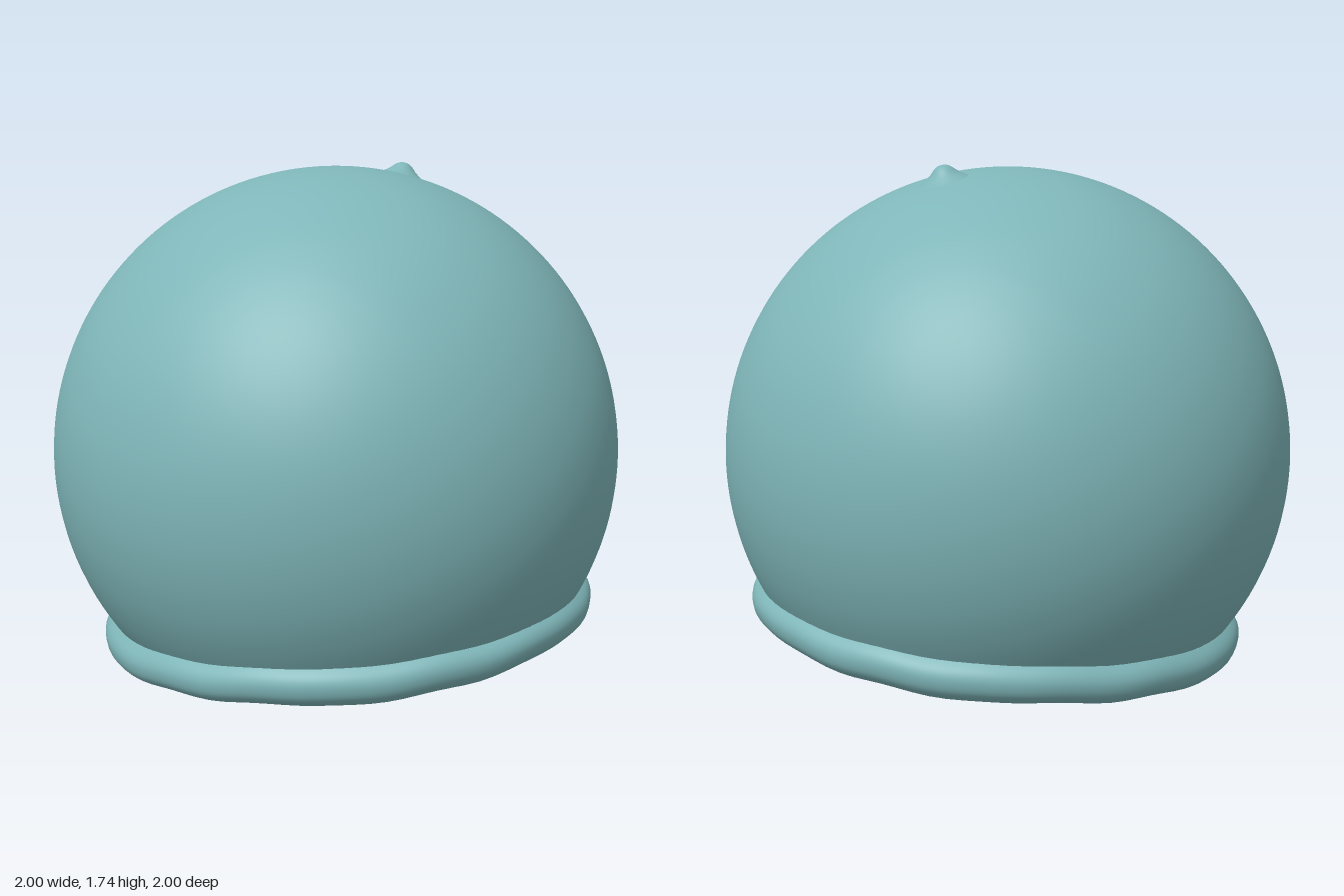
import * as THREE from 'three';
import { mergeVertices } from 'three/addons/utils/BufferGeometryUtils.js';

const CENTRE_Y = 0.74; // centre of the unit sphere that forms the dome
const GROOVE_Y = 0.2;  // height where the dome meets the rim, before tilting
const SEGMENTS = 96;

// Joins the lathe seam and rebuilds smooth normals
function weld(geometry) {
  geometry.deleteAttribute('uv');
  geometry.deleteAttribute('normal');
  const welded = mergeVertices(geometry, 1e-4);
  welded.computeVertexNormals();
  return welded;
}

const spline = (pairs, n) =>
  new THREE.SplineCurve(pairs.map(([x, y]) => new THREE.Vector2(x, y))).getPoints(n);

// Slightly uneven height of the soft rim
const wobble = (a) => 0.004 * Math.sin(5 * a + 1) + 0.003 * Math.sin(11 * a) + 0.002 * Math.sin(17 * a + 2);

// Tilts the rim and hollow as one, and offsets them towards the raised side
function tiltRim(geometry) {
  const p = geometry.attributes.position;
  for (let i = 0; i < p.count; i++) {
    const x = p.getX(i), y = p.getY(i), z = p.getZ(i);
    const ripple = wobble(Math.atan2(z, x)) * THREE.MathUtils.smoothstep(Math.hypot(x, z), 0.3, 0.75);
    p.setXYZ(i, x + 0.03, y + 0.06 * (x + z) + ripple, z + 0.03);
  }
  return weld(geometry);
}

// Lets the dome's lower edge follow the tilted rim while staying on the sphere
function fitDome(geometry) {
  const p = geometry.attributes.position;
  for (let i = 0; i < p.count; i++) {
    const x = p.getX(i), z = p.getZ(i);
    const r = Math.hypot(x, z);
    if (r < 1e-4) continue;
    const w = 1 - THREE.MathUtils.smoothstep(p.getY(i), GROOVE_Y, 0.74);
    const y = p.getY(i) + w * (0.06 * (x + z) + wobble(Math.atan2(z, x)));
    const fit = Math.sqrt(Math.max(0, 1 - (y - CENTRE_Y) ** 2)) / r;
    p.setXYZ(i, x * fit, y, z * fit);
  }
  return weld(geometry);
}

export function createModel() {
  const group = new THREE.Group();
  const teal = new THREE.MeshStandardMaterial({ color: 0x7fb6b9 });
  teal.name = 'soft teal';

  const add = (name, geometry) => {
    const mesh = new THREE.Mesh(geometry, teal);
    mesh.name = name;
    group.add(mesh);
    return mesh;
  };

  // Dome: a sphere cut off at the groove
  const start = Math.asin(GROOVE_Y - CENTRE_Y);
  const domeProfile = [];
  for (let i = 0; i <= 56; i++) {
    const a = THREE.MathUtils.lerp(start, Math.PI / 2, i / 56);
    domeProfile.push(new THREE.Vector2(i === 56 ? 0 : Math.cos(a), CENTRE_Y + Math.sin(a)));
  }
  add('dome', fitDome(new THREE.LatheGeometry(domeProfile, SEGMENTS)));

  // Underside: concave hollow, broad lip and rolled rim, ending inside the dome
  const rimProfile = spline([
    [0, 0.44], [0.15, 0.42], [0.3, 0.36], [0.4, 0.27], [0.48, 0.17], [0.53, 0.11],
    [0.6, 0.077], [0.68, 0.066], [0.77, 0.07], [0.83, 0.085], [0.868, 0.115],
    [0.88, 0.155], [0.872, 0.188], [0.848, 0.215], [0.82, 0.235],
  ], 56);
  rimProfile[0].x = 0;
  add('rimAndHollow', tiltRim(new THREE.LatheGeometry(rimProfile, SEGMENTS)));

  // Small pinched nub near the crown
  const nubProfile = spline([
    [0.1, -0.012], [0.075, 0.001], [0.05, 0.018], [0.03, 0.037], [0.015, 0.046], [0, 0.048],
  ], 16);
  nubProfile[16].x = 0;
  const nub = add('nub', weld(new THREE.LatheGeometry(nubProfile, 24)));
  nub.position.set(0.285, CENTRE_Y + Math.sqrt(1 - 0.285 ** 2), 0);
  nub.rotation.z = -0.26;

  return group;
}
